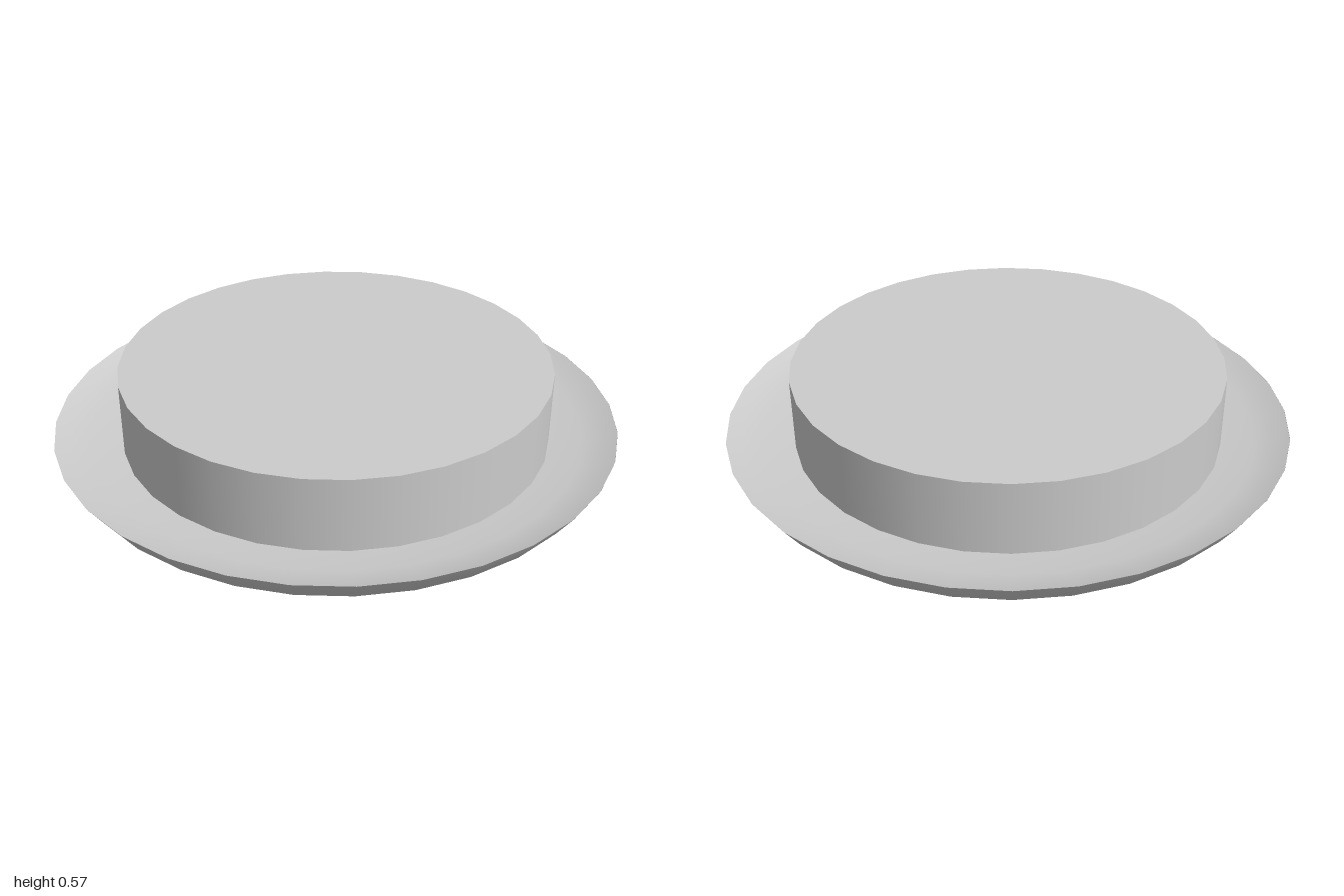
import * as THREE from 'three';

const SIDES = 32;

export function createModel() {
  const group = new THREE.Group();
  const material = new THREE.MeshStandardMaterial({ color: 0xcccccc, side: THREE.DoubleSide });

  function add(name, geometry, y = 0) {
    const mesh = new THREE.Mesh(geometry, material);
    mesh.name = name;
    mesh.position.y = y;
    group.add(mesh);
  }

  // Rounded underside: lower rows of a flattened sphere, cut off at the rim
  const bowl = [];
  for (let i = 0; i <= 7; i++) {
    const a = (i * Math.PI) / 16;
    bowl.push(new THREE.Vector2(1.02 * Math.sin(a), 0.44 * (1 - Math.cos(a))));
  }
  add('bowl', new THREE.LatheGeometry(bowl, SIDES));

  // Shallow dished ledge from the rim down to the drum
  const ledge = [[1, 0.354], [0.95, 0.335], [0.88, 0.318], [0.76, 0.306]]
    .map(([r, y]) => new THREE.Vector2(r, y));
  add('ledge', new THREE.LatheGeometry(ledge, SIDES));

  // Flat-topped drum standing on the ledge
  add('drum', new THREE.CylinderGeometry(0.763, 0.763, 0.27, SIDES), 0.435);

  return group;
}
